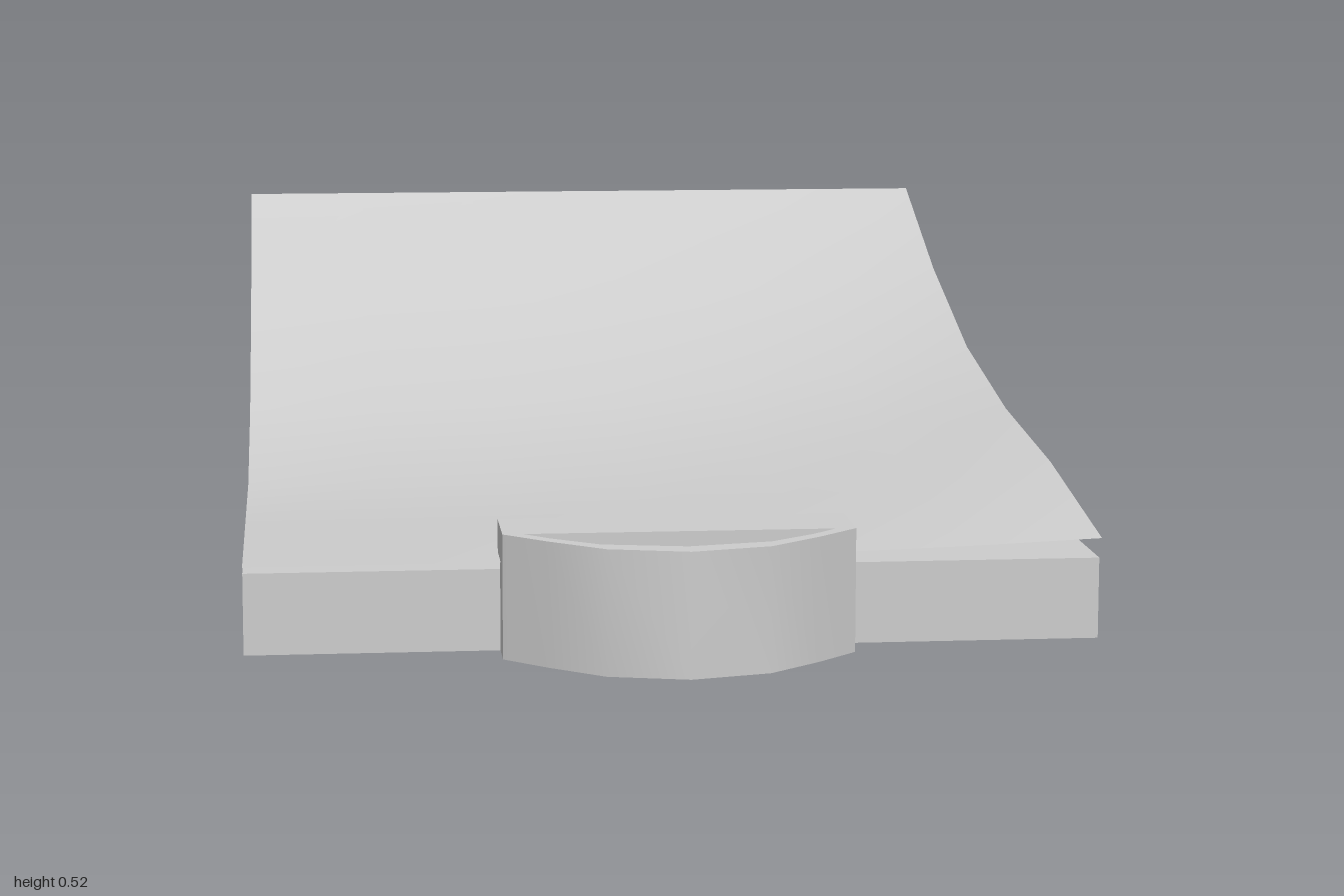
import * as THREE from 'three';
import { toCreasedNormals } from 'three/addons/utils/BufferGeometryUtils.js';

const W = 0.645; // half width of board and sheet

export function createModel() {
  const group = new THREE.Group();
  const grey = new THREE.MeshStandardMaterial({ color: 0xcccccc });
  grey.name = 'light grey';
  const greyPaper = new THREE.MeshStandardMaterial({ color: 0xcccccc, side: THREE.DoubleSide });
  greyPaper.name = 'light grey paper';

  const add = (name, geometry, material = grey) => {
    const mesh = new THREE.Mesh(geometry, material);
    mesh.name = name;
    group.add(mesh);
    return mesh;
  };
  const addBox = (name, y0, y1, z0, z1, halfWidth) =>
    add(name, new THREE.BoxGeometry(halfWidth * 2, y1 - y0, z1 - z0))
      .position.set(0, (y0 + y1) / 2, (z0 + z1) / 2);

  // Flat board
  addBox('board', 0, 0.124, -1, 0.785, W);

  // Curling paper sheet: heights along its low and high side edges, back to front
  const rowZ = [-0.94, -0.63, -0.285, 0.07, 0.43, 0.8];
  const low = [0.523, 0.34, 0.2, 0.13, 0.133, 0.136];
  const high = [0.523, 0.4, 0.297, 0.24, 0.21, 0.157];
  const cols = 6;
  const sheet = new THREE.PlaneGeometry(W * 2, 1.74, cols, rowZ.length - 1);
  sheet.rotateX(-Math.PI / 2);
  const pos = sheet.attributes.position;
  for (let i = 0; i < pos.count; i++) {
    const row = Math.floor(i / (cols + 1));
    const u = (i % (cols + 1)) / cols;
    // the lift grows towards the high edge
    pos.setY(i, low[row] + (high[row] - low[row]) * u ** 3);
    pos.setZ(i, rowZ[row]);
  }
  sheet.computeVertexNormals();
  add('paperSheet', sheet, greyPaper);

  // Clip: wall in front of the board with a lip over the sheet
  addBox('clipWall', 0, 0.188, 0.785, 0.845, 0.263);
  addBox('clipLip', 0.138, 0.188, 0.725, 0.785, 0.263);

  // Bowed finger loop, open from top to bottom
  const mirrored = (half) => [
    ...half, ...half.slice(0, -1).reverse().map(([x, z]) => [-x, z]),
  ].map(([x, z]) => new THREE.Vector2(x, -z));
  const outer = mirrored([[-0.263, 0.845], [-0.2, 0.905], [-0.12, 0.97], [0, 1]]);
  const inner = mirrored([[-0.232, 0.845], [-0.195, 0.882], [-0.125, 0.934], [0, 0.96]]);
  const loop = new THREE.ExtrudeGeometry(new THREE.Shape([...outer, ...inner.reverse()]), {
    depth: 0.188, bevelEnabled: false,
  });
  loop.rotateX(-Math.PI / 2);
  add('clipLoop', toCreasedNormals(loop, 0.7));

  return group;
}
